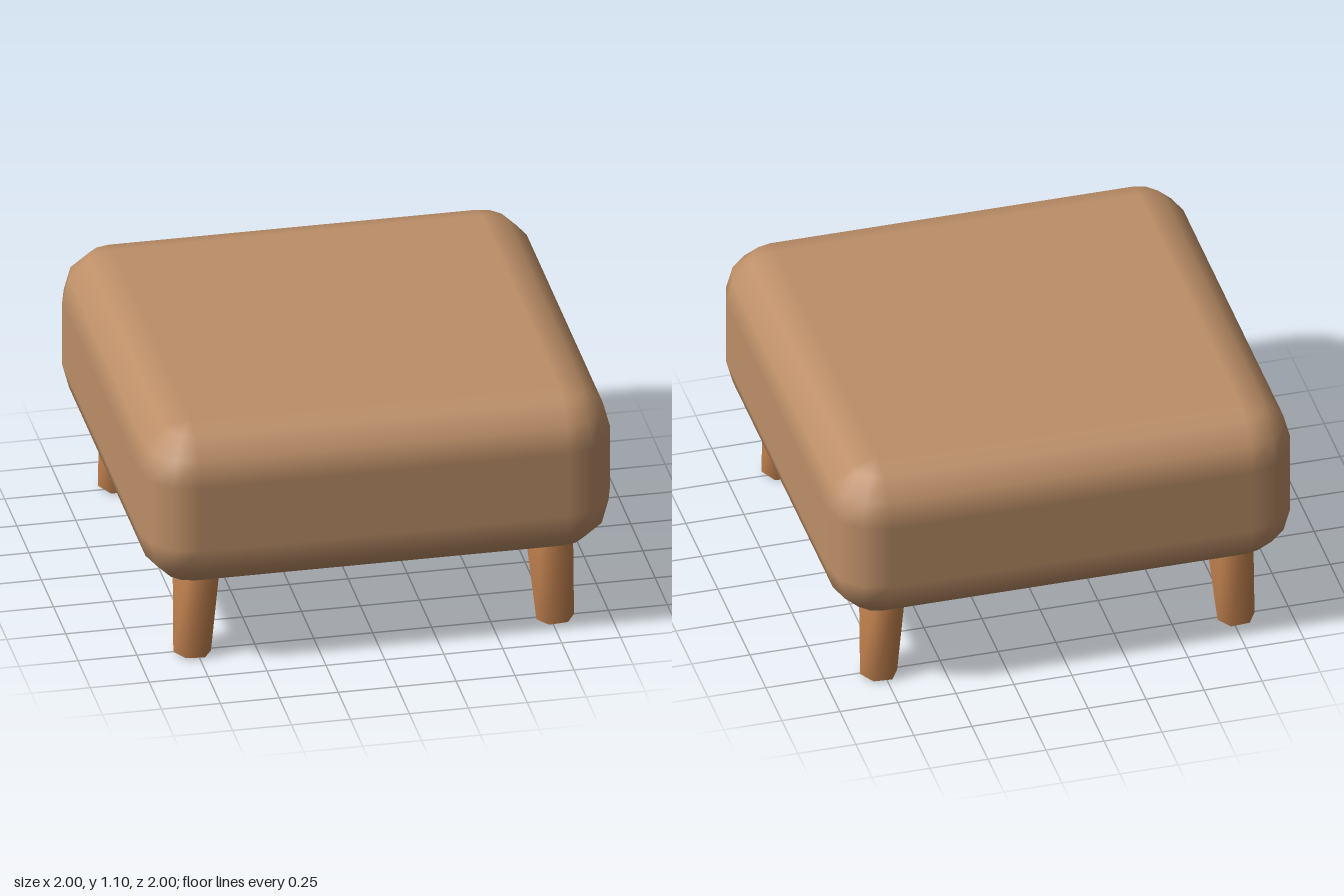
import * as THREE from 'three';
import { mergeVertices } from 'three/addons/utils/BufferGeometryUtils.js';

// Box with rounded edges: stacked rings whose corners are arcs of `steps` segments
function roundedBlock(width, height, depth, r, steps) {
  const pos = [], nor = [], idx = [];
  const ix = width / 2 - r, iy = height / 2 - r, iz = depth / 2 - r;
  const perRing = 4 * (steps + 1), rings = 2 * (steps + 1);
  const signs = [[1, 1], [-1, 1], [-1, -1], [1, -1]];
  for (let j = 0; j < rings; j++) {
    const upper = j > steps;
    const lat = ((upper ? j - steps - 1 : j - steps) / steps) * Math.PI / 2;
    for (let c = 0; c < 4; c++) {
      for (let k = 0; k <= steps; k++) {
        const a = (c + k / steps) * Math.PI / 2;
        const n = [Math.cos(lat) * Math.cos(a), Math.sin(lat), Math.cos(lat) * Math.sin(a)];
        pos.push(signs[c][0] * ix + r * n[0], (upper ? iy : -iy) + r * n[1], signs[c][1] * iz + r * n[2]);
        nor.push(...n);
      }
    }
  }
  for (let j = 0; j < rings - 1; j++) {
    for (let i = 0; i < perRing; i++) {
      const a = j * perRing + i, b = j * perRing + (i + 1) % perRing;
      idx.push(a, a + perRing, b, b, a + perRing, b + perRing);
    }
  }
  // Flat bottom and top
  const s = steps + 1, t = (rings - 1) * perRing;
  idx.push(0, s, 2 * s, 0, 2 * s, 3 * s);
  idx.push(t, t + 2 * s, t + s, t, t + 3 * s, t + 2 * s);
  const g = new THREE.BufferGeometry();
  g.setAttribute('position', new THREE.Float32BufferAttribute(pos, 3));
  g.setAttribute('normal', new THREE.Float32BufferAttribute(nor, 3));
  g.setIndex(idx);
  return g;
}

// Six-sided tapered leg with its foot at the origin, shaded smoothly
function legGeometry() {
  const h = 0.45;
  let g = new THREE.CylinderGeometry(0.104, 0.08, h, 6, 1, false, Math.PI / 2);
  g.translate(0, h / 2, 0);
  g.deleteAttribute('uv');
  g.deleteAttribute('normal');
  g = mergeVertices(g);
  g.computeVertexNormals();
  return g;
}

export function createModel() {
  const model = new THREE.Group();
  model.name = 'footstool';

  // Cushion
  const cushion = new THREE.Mesh(
    roundedBlock(2, 0.73, 2, 0.22, 3),
    new THREE.MeshStandardMaterial({ color: 0xbd8f68 })
  );
  cushion.name = 'cushion';
  cushion.position.y = 0.735;
  model.add(cushion);

  // Four legs, splayed slightly outwards
  const wood = new THREE.MeshStandardMaterial({ color: 0xc48350 });
  const geometry = legGeometry();
  for (const [z, depthName] of [[1, 'front'], [-1, 'back']]) {
    for (const [x, sideName] of [[1, 'Left'], [-1, 'Right']]) {
      const leg = new THREE.Mesh(geometry, wood);
      leg.name = `${depthName}${sideName}Leg`;
      leg.position.set(x * 0.77, 0.008, z * 0.77);
      leg.rotation.set(-z * 0.045, 0, x * 0.055);
      model.add(leg);
    }
  }
  return model;
}
